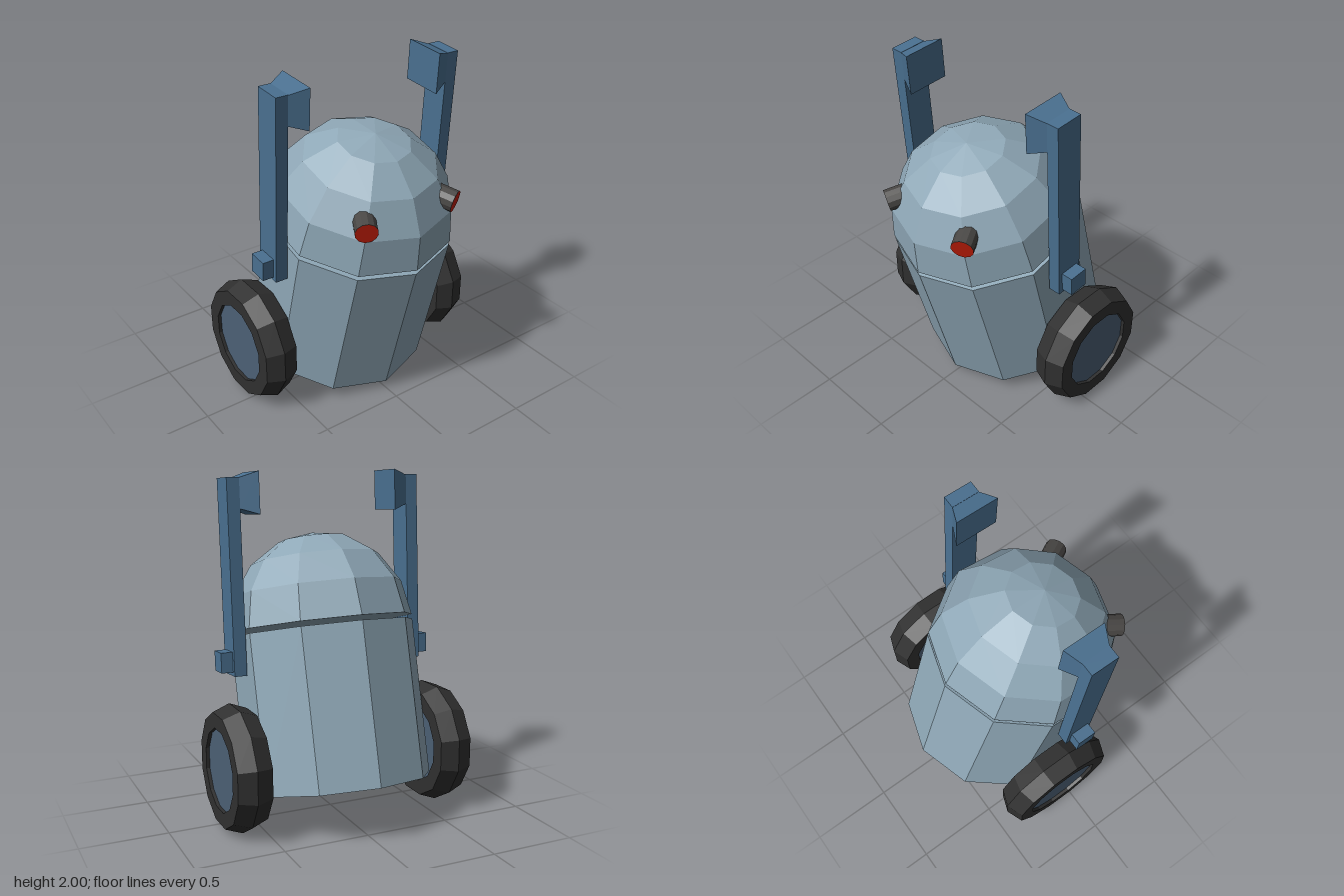
import * as THREE from 'three';

const mat = (color) => new THREE.MeshStandardMaterial({ color, flatShading: true });

export function createModel() {
  const model = new THREE.Group();
  const shell = mat(0x8fa8b7), blue = mat(0x4a7090), hubBlue = mat(0x4c6075);
  const rubber = mat(0x303030), socket = mat(0x484644), red = mat(0xc41e08);

  const add = (parent, name, geometry, material, x = 0, y = 0, z = 0) => {
    const mesh = new THREE.Mesh(geometry, material);
    mesh.name = name;
    mesh.position.set(x, y, z);
    parent.add(mesh);
    return mesh;
  };
  const lathe = (points, sides, start = 0) =>
    new THREE.LatheGeometry(points.map(([r, y]) => new THREE.Vector2(r, y)), sides, start);

  // Ten-sided barrel and separate dome, leaning forward
  const R = 0.543, H = 0.912, GAP = 0.028;
  const torso = new THREE.Group();
  torso.name = 'torso';
  torso.position.set(0, 0.19, -0.126);
  torso.rotation.x = Math.PI / 12;
  model.add(torso);
  add(torso, 'barrel', new THREE.CylinderGeometry(R, R, H, 10), shell, 0, H / 2);

  const domeProfile = [[0, 0]];
  for (let i = 0; i <= 4; i++) {
    const a = (i * Math.PI) / 8;
    domeProfile.push([i === 4 ? 0 : R * Math.cos(a), R * Math.sin(a)]);
  }
  add(torso, 'dome', lathe(domeProfile, 10), shell, 0, H + GAP);

  for (const s of [1, -1]) {
    const side = s > 0 ? 'left' : 'right';

    // Eye stalk with a red lens at its end
    const eye = new THREE.Group();
    eye.name = side + 'Eye';
    eye.position.set(s * 0.3, 1.217, 0.409);
    eye.rotation.y = s * 0.49;
    torso.add(eye);
    add(eye, 'eyeStalk', new THREE.CylinderGeometry(0.063, 0.063, 0.12, 12), socket, 0, 0, -0.06)
      .rotation.x = Math.PI / 2;
    add(eye, 'eyeLens', new THREE.CircleGeometry(0.063, 12), red, 0, 0, 0.002);

    // Crowned tyre with recessed hub
    const wheel = new THREE.Group();
    wheel.name = side + 'Wheel';
    wheel.position.set(s * 0.625, 0.355, -0.085);
    wheel.rotation.z = -Math.PI / 2;
    model.add(wheel);
    const tyre = [[0.24, -0.08], [0.24, -0.1], [0.329, -0.1], [0.367, 0],
      [0.329, 0.1], [0.24, 0.1], [0.24, 0.08]];
    add(wheel, 'tyre', lathe(tyre, 12, Math.PI / 12), rubber);
    add(wheel, 'hub', lathe([[0, -0.08], [0.24, -0.08], [0.24, 0.08], [0, 0.08]], 12, Math.PI / 12), hubBlue);

    // Raised arm: bar, shoulder peg and flared hand
    const arm = new THREE.Group();
    arm.name = side + 'Arm';
    arm.position.set(s * 0.56, 0.86, s > 0 ? 0.063 : 0.08);
    arm.rotation.x = 0.065;
    model.add(arm);
    add(arm, 'armBar', new THREE.BoxGeometry(0.073, 1.1, 0.165), blue, 0, 0.55, 0);
    add(arm, 'shoulderPeg', new THREE.BoxGeometry(0.068, 0.115, 0.115), blue, s * 0.07, 0.08, 0);

    const hand = new THREE.BoxGeometry(0.1, 0.17, 0.165);
    const p = hand.attributes.position;
    for (let i = 0; i < p.count; i++) {
      if (p.getX(i) * s < 0) {
        p.setY(i, Math.sign(p.getY(i)) * 0.118);
        p.setZ(i, Math.sign(p.getZ(i)) * 0.127);
      }
    }
    hand.computeVertexNormals();
    add(arm, 'hand', hand, blue, s * -0.086, 1.013, 0);
  }
  return model;
}
